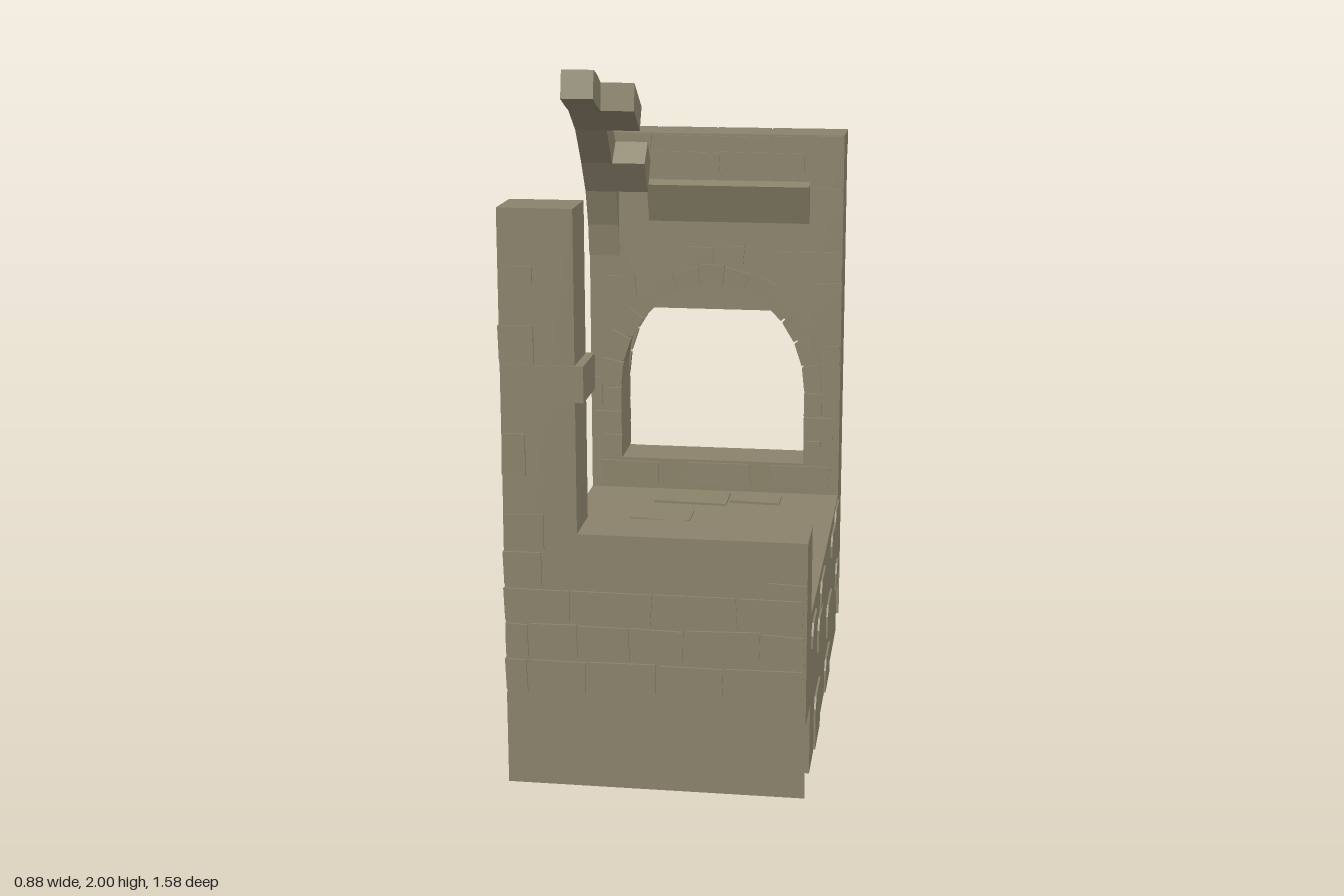
import * as THREE from 'three';

const stone = new THREE.MeshStandardMaterial({ color: 0x8a826a, side: THREE.DoubleSide, flatShading: true });
stone.name = 'weathered stone';

// side limits shared by walls and floor
const L = -0.438, R = 0.433;

let seed = 7;
const rand = () => (seed = (seed * 16807) % 2147483647) / 2147483647;

function add(parent, name, geometry) {
  const mesh = new THREE.Mesh(geometry, stone);
  mesh.name = name;
  parent.add(mesh);
  return mesh;
}

// box given by its low and high corners
function block(parent, name, x0, x1, y0, y1, z0, z1) {
  const g = new THREE.BoxGeometry(x1 - x0, y1 - y0, z1 - z0);
  g.translate((x0 + x1) / 2, (y0 + y1) / 2, (z0 + z1) / 2);
  return add(parent, name, g);
}

const polygon = pts => new THREE.Shape(pts.map(p => new THREE.Vector2(...p)));
const slab = (shape, depth, z) =>
  new THREE.ExtrudeGeometry(shape, { depth, bevelEnabled: false, curveSegments: 10 }).translate(0, 0, z);

// profile in (z, y) drawn out between two x values
const across = (pts, x0, x1) =>
  slab(polygon(pts), x1 - x0, 0).rotateY(-Math.PI / 2).translate(x1, 0, 0);

// brick with uneven corners, barely proud of a wall face at z
function brick(parent, x0, x1, y0, y1, z, proud = 0.008) {
  const j = () => (rand() - 0.5) * 0.012;
  const g = slab(polygon([[x0, y0 + Math.abs(j())], [x1 + j(), y0], [x1, y1 + j()], [x0 + j(), y1]]), 2 * proud, z - proud);
  add(parent, 'brick', g);
}

// open sheet below a wall face
function skirt(parent, z, top) {
  add(parent, 'skirt', new THREE.PlaneGeometry(R - L, top).translate((L + R) / 2, top / 2, z));
}

function frontWall() {
  const g = new THREE.Group();
  g.name = 'frontWall';
  const outline = polygon([[L, 0.22], [R, 0.22], [R, 0.77], [-0.225, 0.77], [-0.225, 1.7], [L, 1.7]]);
  add(g, 'parapetAndPillar', slab(outline, 0.165, 0.613));
  block(g, 'pillarBand', -0.42, -0.2, 1.155, 1.26, 0.605, 0.782);
  skirt(g, 0.613, 0.22);
  skirt(g, 0.784, 0.28);
  const rows = [
    [0.285, 0.385, [L, -0.37, -0.195, 0.01, 0.205, R]],
    [0.395, 0.495, [L, -0.365, -0.22, -0.07, 0.09, 0.31, R]],
    [0.505, 0.6, [L, -0.24, 0, 0.24, R]],
  ];
  for (const [y0, y1, xs] of rows)
    for (let i = 0; i < xs.length - 1; i++) brick(g, xs[i], xs[i + 1] - 0.01, y0, y1, 0.777);
  const odd = [[L, -0.33, 0.61, 0.71], [L, -0.32, 0.72, 0.82], [L, -0.37, 0.94, 1.06],
    [L, -0.34, 1.26, 1.37], [-0.41, -0.34, 1.49, 1.54], [0.32, 0.43, 0.61, 0.65]];
  for (const [x0, x1, y0, y1] of odd) brick(g, x0, x1, y0, y1, 0.777);
  return g;
}

function backWall() {
  const g = new THREE.Group();
  g.name = 'backWall';
  const outline = polygon([[L, 0.17], [R, 0.17], [R, 1.755], [L, 1.755]]);
  const hole = new THREE.Path();
  hole.moveTo(-0.33, 0.61);
  hole.lineTo(-0.33, 0.9);
  hole.quadraticCurveTo(-0.33, 1.07, -0.23, 1.152);
  hole.lineTo(0.21, 1.152);
  hole.quadraticCurveTo(0.31, 1.07, 0.31, 0.9);
  hole.lineTo(0.31, 0.61);
  outline.holes.push(hole);
  add(g, 'windowWall', slab(outline, 0.17, -0.76));
  skirt(g, -0.59, 0.17);
  skirt(g, -0.764, 0.28);

  // coping lip, broken by narrow gaps
  const cuts = [L, -0.23, -0.02, 0.17, R];
  for (let i = 0; i < 4; i++)
    block(g, 'coping', cuts[i] + (i ? 0.006 : 0), cuts[i + 1], 1.705, 1.755, -0.79, -0.755);

  // arch and jamb stones on both faces
  const n = 13;
  for (const z of [-0.59, -0.76]) {
    for (let i = 0; i < n; i++) {
      const at = (k, d) => {
        const a = Math.PI * k / n;
        return [-0.01 + (0.32 + d) * Math.cos(a), 0.87 + (0.37 + d) * Math.sin(a)];
      };
      const d = 0.06 + rand() * 0.015;
      const pts = [at(i + 0.05, 0), at(i + 0.05, d), at(i + 0.95, d), at(i + 0.95, 0)];
      add(g, 'archStone', slab(polygon(pts), 0.024, z - 0.012));
    }
    for (let i = 0; i < 3; i++) {
      const y = 0.615 + i * 0.085, w = 0.06 + (i % 2) * 0.04;
      block(g, 'jambStone', 0.31, 0.31 + w, y, y + 0.078, z - 0.011, z + 0.011);
      block(g, 'jambStone', -0.33 - w, -0.33, y, y + 0.078, z - 0.011, z + 0.011);
    }
  }

  // inner face bricks
  const inner = [[-0.33, -0.22, 1.7, 1.75], [-0.21, 0.19, 1.705, 1.75], [0.2, 0.43, 1.705, 1.75],
    [-0.2, 0.01, 1.61, 1.695], [0.02, 0.3, 1.61, 1.695], [0.33, 0.43, 1.48, 1.58], [0.21, 0.43, 1.26, 1.36],
    [-0.11, -0.01, 1.31, 1.37], [0, 0.1, 1.31, 1.37], [-0.38, -0.28, 1.17, 1.26], [0.35, 0.43, 1.15, 1.25],
    [0.385, 0.43, 0.94, 1.03], [-0.43, -0.4, 0.8, 0.9], [-0.4, -0.2, 0.52, 0.6], [-0.1, 0.12, 0.52, 0.6],
    [0.2, 0.4, 0.52, 0.6]];
  for (const [x0, x1, y0, y1] of inner) brick(g, x0, x1, y0, y1, -0.59);

  // outer face courses, leaving the window clear
  for (let row = 0; row < 13; row++) {
    const y0 = 0.285 + row * 0.109, y1 = y0 + 0.1;
    let x = L;
    while (x < 0.4) {
      const end = Math.min(R, x + 0.1 + rand() * 0.13);
      const clear = [x, end, (x + end) / 2].every(px =>
        y1 < 0.61 || y0 > 1.29 || Math.hypot((px + 0.01) / 0.385, Math.max(0, y0 - 0.87) / 0.44) > 1);
      if (clear && rand() < 0.85) brick(g, x, end - 0.009, y0, y1, -0.76);
      x = end;
    }
  }

  // sloped ledge on the inner face
  add(g, 'ledge', across([[-0.6, 1.455], [-0.588, 1.455], [-0.54, 1.585], [-0.6, 1.6]], -0.23, 0.32));
  return g;
}

// broken vault rib: outer and inner curve points in (z, y)
function vaultRib() {
  const g = new THREE.Group();
  g.name = 'vaultRib';
  const outer = [[-0.15, 2], [-0.21, 1.98], [-0.27, 1.95], [-0.41, 1.86], [-0.535, 1.73], [-0.59, 1.66], [-0.6, 1.45], [-0.6, 1.34]];
  const inner = [[-0.13, 1.91], [-0.19, 1.885], [-0.26, 1.86], [-0.37, 1.785], [-0.465, 1.665], [-0.535, 1.56], [-0.575, 1.44], [-0.59, 1.33]];
  for (let i = 0; i < outer.length - 1; i++) {
    const wide = i === 2 || i === 4;
    const pts = [inner[i], inner[i + 1], outer[i + 1], outer[i]];
    add(g, 'ribStone', across(pts, -0.44, wide ? -0.225 : -0.335));
  }
  return g;
}

function floor() {
  const g = new THREE.Group();
  g.name = 'floor';
  block(g, 'floorSlab', L, R, 0.455, 0.5, -0.59, 0.613);
  block(g, 'sideWall', 0.06, R, 0, 0.5, -0.59, 0.613);

  // flagstones as (x, z) outlines
  const flags = [
    [[-0.19, -0.54], [0.06, -0.54], [0.06, -0.41], [-0.19, -0.42]],
    [[0.07, -0.54], [0.24, -0.54], [0.24, -0.44], [0.07, -0.45]],
    [[-0.21, -0.38], [-0.06, -0.37], [-0.04, -0.34], [-0.04, -0.22], [-0.07, -0.2], [-0.24, -0.21]],
    [[-0.235, -0.2], [-0.04, -0.2], [-0.03, -0.04], [-0.06, -0.01], [-0.235, -0.02]],
    [[-0.03, -0.2], [0.03, -0.19], [0.145, -0.11], [0.14, -0.06], [0.04, -0.02], [-0.02, -0.04]],
    [[-0.235, 0.03], [-0.03, 0.02], [-0.02, 0.18], [-0.14, 0.21], [-0.24, 0.15]],
    [[0.03, 0.02], [0.16, 0.05], [0.155, 0.11], [0.07, 0.18], [-0.02, 0.18], [-0.01, 0.1]],
    [[0.04, 0.24], [0.24, 0.24], [0.24, 0.415], [0, 0.415], [0, 0.34]],
  ];
  for (const f of flags) {
    const geo = slab(polygon(f.map(([x, z]) => [x, -z])), 0.03, 0).rotateX(-Math.PI / 2);
    geo.computeBoundingBox();
    const c = geo.boundingBox.getCenter(new THREE.Vector3());
    geo.translate(-c.x, -c.y, -c.z);
    const m = add(g, 'flagstone', geo);
    m.position.set(c.x, 0.494, c.z);
    m.rotation.set((rand() - 0.5) * 0.11, 0, (rand() - 0.5) * 0.08);
  }

  // side bricks as z and y ranges
  const side = [[0.45, 0.605, 0.39, 0.46], [0.26, 0.45, 0.005, 0.165], [0.185, 0.35, 0.28, 0.38],
    [0.08, 0.26, 0.39, 0.47], [-0.25, -0.06, 0.17, 0.275], [-0.19, 0, 0.005, 0.11],
    [-0.39, -0.23, 0.39, 0.46], [-0.57, -0.4, 0.43, 0.49], [-0.585, -0.5, 0.18, 0.27]];
  for (const [z0, z1, y0, y1] of side) {
    const cut = 0.03;
    add(g, 'sideBrick', across([[z0, y0], [z1, y0], [z1, y1 - cut], [z1 - cut, y1], [z0, y1]], 0.42, 0.439));
  }
  return g;
}

export function createModel() {
  const model = new THREE.Group();
  model.name = 'ruinedTowerSection';
  model.add(frontWall(), backWall(), vaultRib(), floor());
  return model;
}
